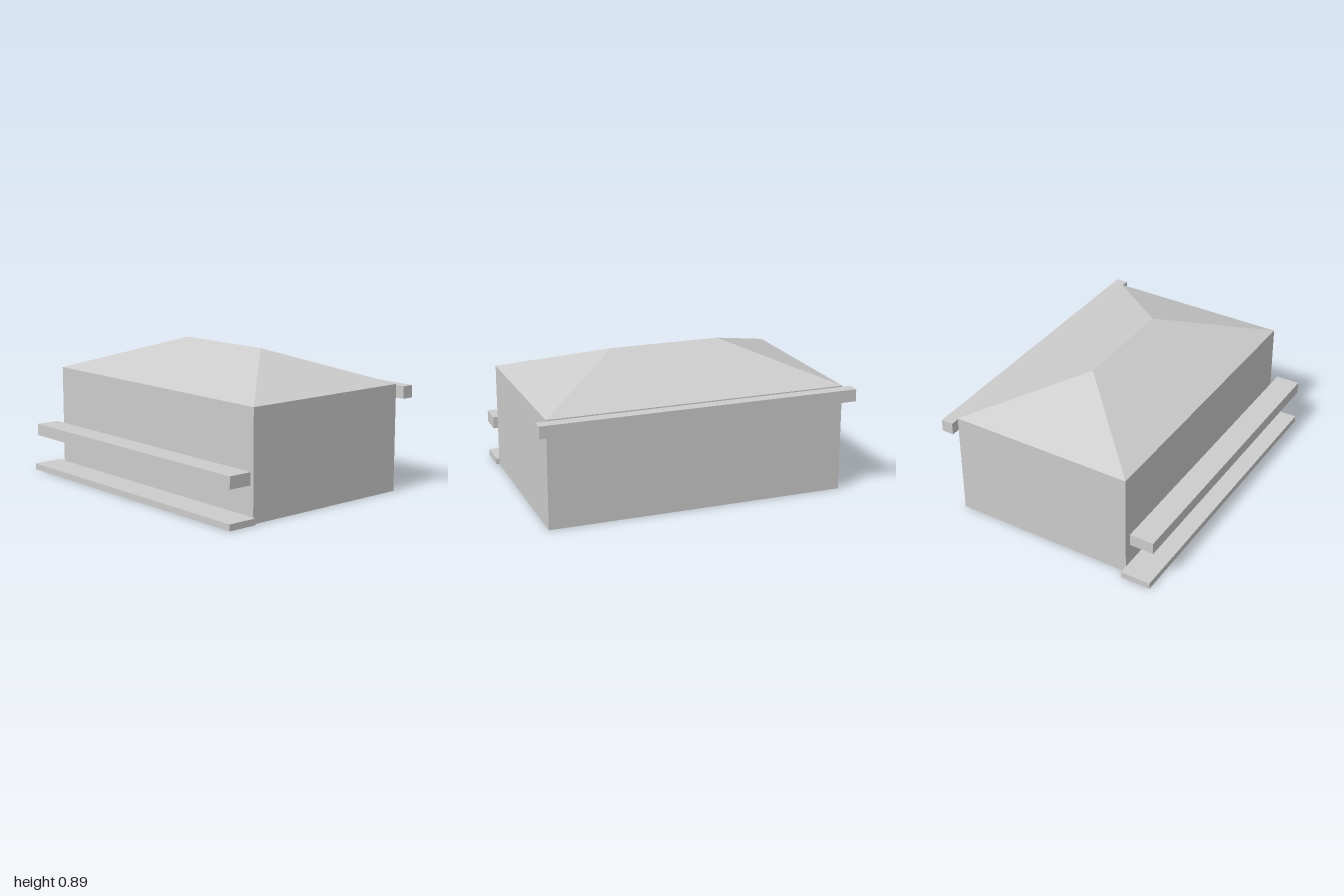
import * as THREE from 'three';

export function createModel() {
  const group = new THREE.Group();
  const grey = new THREE.MeshStandardMaterial({ color: 0xcccccc, side: THREE.DoubleSide });
  grey.name = 'plain grey';

  const add = (name, geometry) => {
    const mesh = new THREE.Mesh(geometry, grey);
    mesh.name = name;
    group.add(mesh);
  };

  // Hollow box given by its bounds; the bottom is open, and the top too if asked
  const shell = (name, [x0, x1], [y0, y1], [z0, z1], openTop = false) => {
    const g = new THREE.BoxGeometry(x1 - x0, y1 - y0, z1 - z0);
    g.translate((x0 + x1) / 2, (y0 + y1) / 2, (z0 + z1) / 2);
    const sides = Array.from(g.index.array);
    sides.splice(openTop ? 12 : 18, openTop ? 12 : 6); // drop top/bottom faces
    g.setIndex(sides);
    g.clearGroups();
    add(name, g);
  };

  const X = [-0.945, 0.938], Z = [-0.647, 0.53], eave = 0.675;

  shell('walls', X, [0, eave], Z, true);
  shell('frontStep', [-1, 0.958], [0, 0.04], [Z[1], 0.724]);
  shell('frontCanopy', [-0.962, 0.958], [0.238, 0.314], [0.569, 0.724]);
  shell('backGutter', [-1, 1], [0.591, 0.668], [-0.724, Z[0]]);

  // Hipped roof: four eave corners and a short ridge
  const a = [X[0], eave, Z[1]], b = [X[1], eave, Z[1]];
  const c = [X[1], eave, Z[0]], d = [X[0], eave, Z[0]];
  const l = [-0.357, 0.887, -0.059], r = [0.35, 0.887, -0.059];
  const triangles = [a, b, r, a, r, l, b, c, r, c, d, l, c, l, r, d, a, l];
  const roof = new THREE.BufferGeometry();
  roof.setAttribute('position', new THREE.Float32BufferAttribute(triangles.flat(), 3));
  roof.computeVertexNormals();
  add('hippedRoof', roof);

  return group;
}
